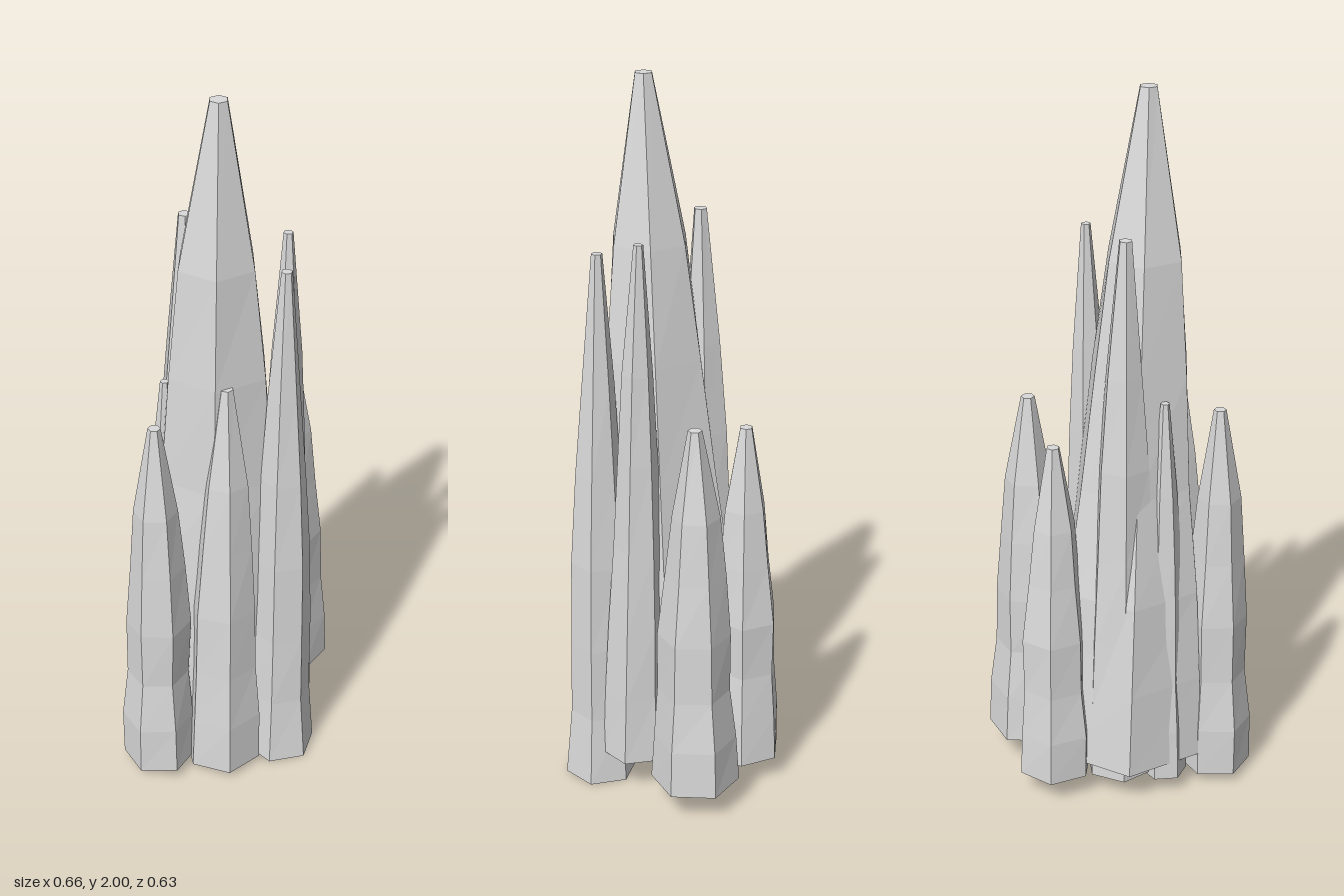
import * as THREE from 'three';

const ROWS = 6;
const LEVELS = [0, 0.13, 0.27, 0.43, 0.6, 0.765, 1]; // ring heights as fractions

// Hexagonal spire: rings follow a radius profile, drift from base to tip, and are slightly uneven
function spireGeometry({ base, tip, y0, y1, turn, radii, seed }) {
  const geo = new THREE.CylinderGeometry(1, 1, 1, 6, ROWS);
  const pos = geo.attributes.position;
  for (let v = 0; v < pos.count; v++) {
    const x = pos.getX(v), z = pos.getZ(v);
    const row = Math.round((pos.getY(v) + 0.5) * ROWS);
    const t = LEVELS[row];
    const cx = THREE.MathUtils.lerp(base[0], tip[0], t);
    const cz = THREE.MathUtils.lerp(base[1], tip[1], t);
    const y = THREE.MathUtils.lerp(y0, y1, t);
    if (Math.hypot(x, z) < 0.01) { // centre of an end cap
      pos.setXYZ(v, cx, y, cz);
      continue;
    }
    const side = (Math.round(Math.atan2(z, x) / (Math.PI / 3) - 0.5) + 6) % 6;
    const angle = THREE.MathUtils.degToRad(turn + side * 60);
    const wobble = row === 0 || row === ROWS ? 1 : 1 + 0.045 * Math.sin(side * 7.3 + row * 5.1 + seed * 3.7);
    const r = radii[row] * wobble;
    pos.setXYZ(v, cx + r * Math.cos(angle), y, cz + r * Math.sin(angle));
  }
  const flat = geo.toNonIndexed();
  flat.computeVertexNormals();
  return flat;
}

export function createModel() {
  const group = new THREE.Group();
  const stone = new THREE.MeshStandardMaterial({ color: 0xdadada, flatShading: true });
  stone.name = 'pale grey stone';

  // Base and tip are [x, z] centres
  const spires = [
    { name: 'mainSpire', base: [-0.045, 0.02], tip: [-0.035, 0.09], y0: 0.1, y1: 2, turn: 41,
      radii: [0.232, 0.215, 0.205, 0.172, 0.145, 0.11, 0.025] },
    { name: 'backInnerSpire', base: [-0.105, -0.065], tip: [-0.1, -0.045], y0: 0.06, y1: 1.635, turn: 35,
      radii: [0.1, 0.098, 0.096, 0.086, 0.073, 0.052, 0.018] },
    { name: 'leftInnerSpire', base: [0.15, 0.06], tip: [0.155, 0.04], y0: 0.1, y1: 1.6, turn: 0,
      radii: [0.093, 0.085, 0.08, 0.068, 0.055, 0.042, 0.013] },
    { name: 'leftFrontSpire', base: [0.125, 0.175], tip: [0.125, 0.165], y0: 0, y1: 1.555, turn: -3,
      radii: [0.103, 0.09, 0.085, 0.078, 0.063, 0.045, 0.015] },
    { name: 'frontSpire', base: [-0.048, 0.202], tip: [-0.035, 0.195], y0: 0.02, y1: 1.245, turn: 30,
      radii: [0.112, 0.106, 0.096, 0.094, 0.08, 0.062, 0.018] },
    { name: 'rightFrontSpire', base: [-0.23, 0.19], tip: [-0.225, 0.185], y0: 0.03, y1: 1.14, turn: 11,
      radii: [0.103, 0.1, 0.086, 0.09, 0.075, 0.06, 0.017] },
    { name: 'leftBackSpire', base: [0.21, -0.137], tip: [0.205, -0.13], y0: 0.08, y1: 1.13, turn: 15,
      radii: [0.123, 0.114, 0.1, 0.1, 0.083, 0.065, 0.019] },
    { name: 'backSpire', base: [0.002, -0.217], tip: [0.003, -0.21], y0: 0.07, y1: 1.07, turn: 47,
      radii: [0.107, 0.104, 0.09, 0.092, 0.075, 0.06, 0.018] },
    { name: 'rightInnerSpire', base: [-0.195, 0.022], tip: [-0.172, 0.032], y0: 0.05, y1: 1.185, turn: 5,
      radii: [0.066, 0.062, 0.055, 0.054, 0.045, 0.034, 0.012] },
  ];

  spires.forEach((spec, i) => {
    const mesh = new THREE.Mesh(spireGeometry({ ...spec, seed: i }), stone);
    mesh.name = spec.name;
    group.add(mesh);
  });
  return group;
}
